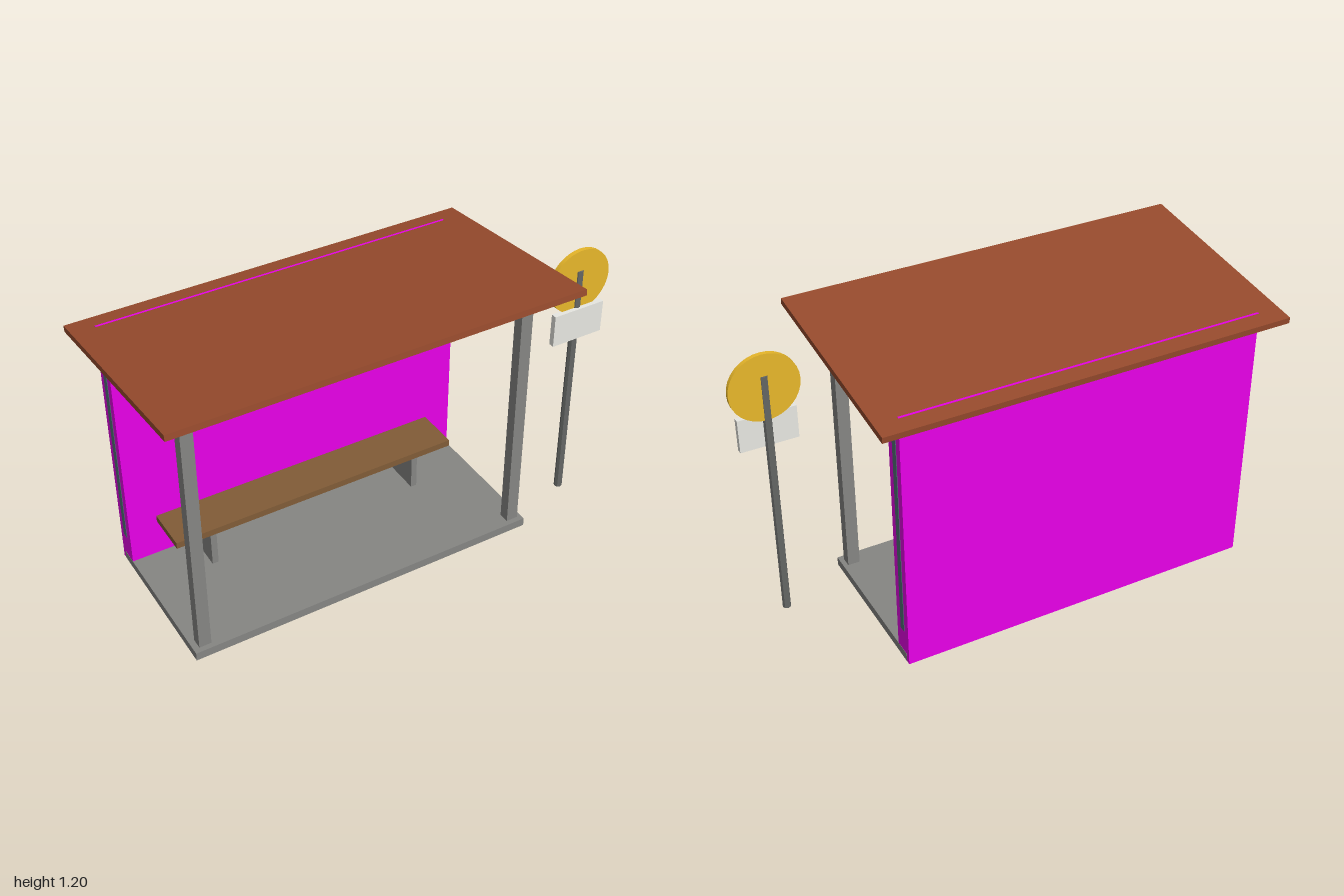
import * as THREE from 'three';

const mat = (name, color) => {
  const m = new THREE.MeshStandardMaterial({ color });
  m.name = name;
  return m;
};

export function createModel() {
  const concrete = mat('concrete grey', 0x868683);
  const steel = mat('pole grey', 0x666866);
  const rust = mat('roof brown', 0x974b2d);
  const wood = mat('bench brown', 0x815c37);
  const magenta = mat('wall magenta', 0xff00ff);
  const teal = mat('panel teal', 0x527278);
  const yellow = mat('sign yellow', 0xefbd2c);
  const white = mat('plate white', 0xf0f0ea);

  const model = new THREE.Group();
  model.name = 'busShelter';

  const add = (name, geometry, material, x, y, z) => {
    const mesh = new THREE.Mesh(geometry, material);
    mesh.name = name;
    mesh.position.set(x, y, z);
    model.add(mesh);
    return mesh;
  };
  // Box given by its limits on each axis
  const box = (name, material, [x0, x1], [y0, y1], [z0, z1]) =>
    add(name, new THREE.BoxGeometry(x1 - x0, y1 - y0, z1 - z0), material,
      (x0 + x1) / 2, (y0 + y1) / 2, (z0 + z1) / 2);

  // Shelter: base slab, back wall and the panel showing at the wall's ends
  box('floor', concrete, [-0.909, 0.579], [0.001, 0.037], [-0.352, 0.302]);
  box('backWall', magenta, [-0.908, 0.578], [0, 1.113], [-0.371, -0.279]);
  box('wallPanel', teal, [-0.91, 0.58], [0.14, 1.07], [-0.34, -0.311]);

  // Front posts
  for (const x of [-0.86, 0.535])
    box('frontPost', concrete, [x - 0.025, x + 0.025], [0.037, 1.116], [0.235, 0.28]);

  // Sloping roof, higher at the front
  const roof = add('roof', new THREE.BoxGeometry(1.67, 0.025, 0.884), rust, -0.165, 1.139, 0);
  roof.rotation.x = -0.1063;

  // Bench
  box('benchSeat', wood, [-0.79, 0.463], [0.197, 0.225], [-0.28, -0.092]);
  for (const x of [-0.628, 0.3])
    box('benchLeg', concrete, [x - 0.013, x + 0.013], [0.037, 0.197], [-0.267, -0.105]);

  // Stop sign post with round disc and timetable plate
  const poleGeometry = new THREE.CylinderGeometry(0.017, 0.017, 1.072, 8).toNonIndexed();
  poleGeometry.computeVertexNormals();
  add('signPole', poleGeometry, steel, 0.858, 0.536, 0.163);
  const disc = add('signDisc', new THREE.CylinderGeometry(0.138, 0.138, 0.018, 32), yellow, 0.86, 1.025, 0.162);
  disc.rotation.x = Math.PI / 2;
  box('signPlate', white, [0.742, 0.972], [0.77, 0.908], [0.165, 0.189]);

  return model;
}
